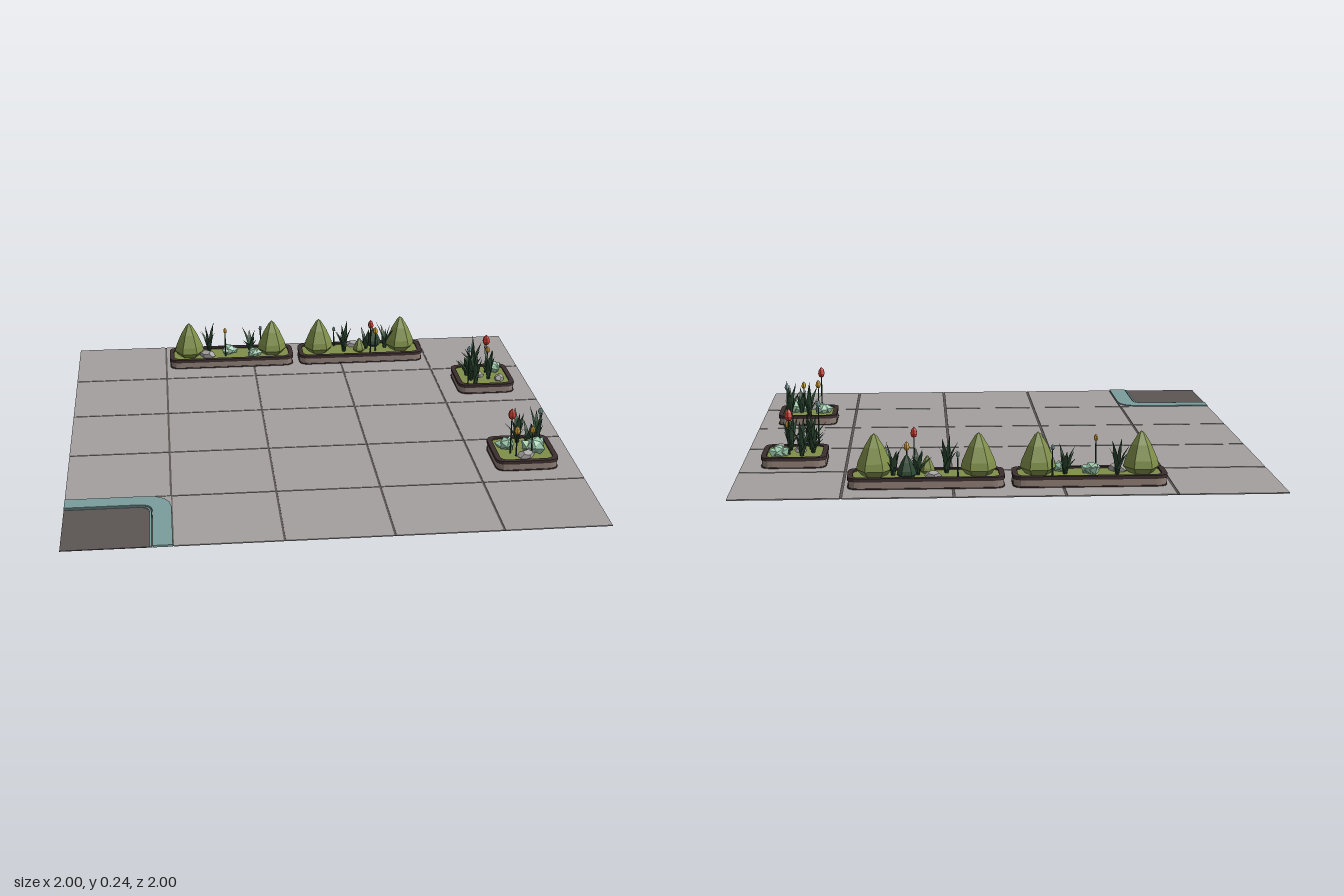
import * as THREE from 'three';

const mat = (name, color, side = THREE.FrontSide) => {
  const m = new THREE.MeshStandardMaterial({ color, flatShading: true, side });
  m.name = name;
  return m;
};
const M = {
  stone: mat('pavingGrey', 0xa3a09e),
  road: mat('roadBrown', 0x5c5554, THREE.DoubleSide),
  teal: mat('kerbTeal', 0x7b9c9c),
  rim: mat('rimBrown', 0x3c2e2e),
  wall: mat('wallTaupe', 0x8f7f76),
  olive: mat('oliveGreen', 0x7f8f49),
  leaf: mat('darkLeafGreen', 0x2b4630, THREE.DoubleSide),
  mint: mat('mintGreen', 0x9cc9ac),
  red: mat('tulipRed', 0xc8382f),
  yellow: mat('flowerYellow', 0xc4912f),
};

function add(parent, name, geo, material, x = 0, y = 0, z = 0) {
  const m = new THREE.Mesh(geo, material);
  m.name = name;
  m.position.set(x, y, z);
  parent.add(m);
  return m;
}

// Upright slab from a plan shape drawn in (x, -z)
const slab = (shape, h) => new THREE.ExtrudeGeometry(shape, { depth: h, bevelEnabled: false, curveSegments: 4 }).rotateX(-Math.PI / 2);

function roundRect(w, d, r, S = THREE.Shape) {
  const s = new S(), x = w / 2, y = d / 2;
  s.moveTo(-x + r, -y);
  s.lineTo(x - r, -y); s.quadraticCurveTo(x, -y, x, -y + r);
  s.lineTo(x, y - r); s.quadraticCurveTo(x, y, x - r, y);
  s.lineTo(-x + r, y); s.quadraticCurveTo(-x, y, -x, y - r);
  s.lineTo(-x, -y + r); s.quadraticCurveTo(-x, -y, -x + r, -y);
  return s;
}
function frame(w, d, r, t) {
  const s = roundRect(w, d, r);
  s.holes.push(roundRect(w - 2 * t, d - 2 * t, Math.max(r - t * 0.6, 0.01), THREE.Path));
  return s;
}

// L-shaped band around the road corner, between edges a and b
function cornerBand(a, b, ra, rb) {
  const s = new THREE.Shape();
  s.moveTo(a, -1); s.lineTo(a, a - ra); s.quadraticCurveTo(a, a, a - ra, a);
  s.lineTo(-1, a); s.lineTo(-1, b);
  s.lineTo(b - rb, b); s.quadraticCurveTo(b, b, b, b - rb); s.lineTo(b, -1);
  return s;
}

function ground(root) {
  const g = new THREE.Group();
  g.name = 'ground';
  root.add(g);
  // Grout strips lie inside the gaps between slabs
  for (let i = 0; i < 4; i++) {
    const p = -0.6 + i * 0.4;
    add(g, 'groutAcross', new THREE.BoxGeometry(2, 0.001, 0.012), M.road, 0, 0.0105, p);
    add(g, 'groutAlong', new THREE.BoxGeometry(0.012, 0.001, 2), M.road, p, 0.0105, 0);
  }
  for (let i = 0; i < 5; i++) for (let j = 0; j < 5; j++) {
    if (i === 0 && j === 4) continue;
    const x0 = i ? -0.996 + i * 0.4 : -1, x1 = i < 4 ? -0.604 + i * 0.4 : 1;
    const z0 = j ? -0.996 + j * 0.4 : -1, z1 = j < 4 ? -0.604 + j * 0.4 : 1;
    add(g, 'pavingSlab', new THREE.BoxGeometry(x1 - x0, 0.004, z1 - z0), M.stone, (x0 + x1) / 2, 0.011, (z0 + z1) / 2);
  }
  // Road corner with rounded kerb
  const fill = new THREE.Shape();
  fill.moveTo(-0.6, -0.7); fill.lineTo(-0.6, -0.6); fill.lineTo(-0.7, -0.6);
  fill.quadraticCurveTo(-0.6, -0.6, -0.6, -0.7);
  add(g, 'cornerFill', slab(fill, 0.004), M.stone, 0, 0.009);
  add(g, 'kerb', slab(cornerBand(-0.6, -0.671, 0.1, 0.05), 0.008), M.teal, 0, 0.009);
  add(g, 'kerbLip', slab(cornerBand(-0.675, -0.682, 0.05, 0.045), 0.006), M.teal, 0, 0.009);
  const road = new THREE.Shape();
  road.moveTo(-1, -1); road.lineTo(-0.672, -1); road.lineTo(-0.672, -0.722);
  road.quadraticCurveTo(-0.672, -0.672, -0.722, -0.672); road.lineTo(-1, -0.672);
  add(g, 'road', slab(road, 0.003), M.road, 0, 0.009);
}

function planter(root, name, x, z, w, d) {
  const g = new THREE.Group();
  g.name = name;
  g.position.set(x, 0, z);
  root.add(g);
  add(g, 'planterFoot', slab(roundRect(w, d, 0.045), 0.005), M.rim, 0, 0.012);
  add(g, 'planterWall', slab(frame(w - 0.006, d - 0.006, 0.043, 0.016), 0.026), M.wall, 0, 0.016);
  add(g, 'planterRim', slab(frame(w, d, 0.045, 0.02), 0.013), M.rim, 0, 0.041);
  add(g, 'grass', slab(roundRect(w - 0.036, d - 0.036, 0.03), 0.03), M.olive, 0, 0.018);
  return g;
}

// Six-sided clipped bush
function bush(g, x, z, s = 1, material = M.olive) {
  const prof = [[0, 0], [0.046, 0], [0.066, 0.022], [0.06, 0.05], [0.036, 0.105], [0.012, 0.145], [0, 0.155]];
  const geo = new THREE.LatheGeometry(prof.map(p => new THREE.Vector2(p[0] * s, p[1] * s)), 6);
  add(g, 'clippedBush', geo, material, x, 0.048, z).rotation.y = Math.PI / 6 * 3;
}

// Tuft of bent tapering blades
function tuft(g, x, z, h, n = 7, lean = 0.035) {
  const t = new THREE.Group();
  t.name = 'leafTuft';
  t.position.set(x, 0.046, z);
  for (let i = 0; i < n; i++) {
    const k = h * (1 - 0.17 * (i % 4)), out = lean * (0.5 + 0.35 * (i % 3));
    const geo = new THREE.PlaneGeometry(1, 1, 2, 3), p = geo.attributes.position;
    for (let v = 0; v < p.count; v++) {
      const u = p.getY(v) + 0.5, side = p.getX(v);
      const wid = 0.022 * (u < 0.5 ? 0.6 + u : 2 * (1 - u) * 1.05);
      p.setXYZ(v, side * wid, u * k, 0.005 + out * u * u - Math.abs(side) * 0.006 * (1 - u));
    }
    const m = add(t, 'blade', geo, M.leaf);
    m.rotation.y = i * 2.4 + x * 9;
  }
  g.add(t);
}

// Chunky faceted succulent
function succulent(g, x, z, r) {
  const s = new THREE.Group();
  s.name = 'succulent';
  s.position.set(x, 0.052, z);
  s.rotation.y = x * 17 + z * 5;
  add(s, 'heart', new THREE.IcosahedronGeometry(r * 0.8, 0), M.mint, 0, r * 0.3, 0).scale.y = 0.9;
  for (let i = 0; i < 3; i++) {
    const a = i * 2.1;
    const m = add(s, 'fleshyLeaf', new THREE.OctahedronGeometry(r * 0.65, 0), M.mint, Math.cos(a) * r * 0.6, r * 0.3, Math.sin(a) * r * 0.6);
    m.rotation.set(0.3, -a, 0.5);
    m.scale.set(1, 0.8, 0.8);
  }
  g.add(s);
}

function rock(g, x, z, r) {
  const m = add(g, 'rock', new THREE.DodecahedronGeometry(r, 0), M.stone, x, 0.055, z);
  m.scale.set(1.2, 0.7, 0.85);
  m.rotation.y = x * 11 + 0.5;
}

// Closed bloom on a thin stem; top is the height of its tip
function flower(g, x, z, top, material, r = 0.013) {
  const h = r * 3, len = top - h - 0.045;
  add(g, 'stem', new THREE.CylinderGeometry(0.0025, 0.0035, len, 5), M.leaf, x, 0.045 + len / 2, z);
  const prof = [[0, 0], [0.7, 0.4], [1, 1.2], [0.75, 2.2], [0, 3]].map(p => new THREE.Vector2(p[0] * r, p[1] * r));
  add(g, 'bloom', new THREE.LatheGeometry(prof, 6), material, x, top - h, z);
}

export function createModel() {
  const root = new THREE.Group();
  root.name = 'pavedGarden';
  ground(root);

  // Long planters at the back
  const a = planter(root, 'longPlanterRight', -0.3, -0.8, 0.566, 0.17);
  const b = planter(root, 'longPlanterLeft', 0.297, -0.8, 0.572, 0.17);
  for (const g of [a, b]) {
    for (const x of [-0.192, 0.188]) bush(g, x, 0);
    add(g, 'undersideOutline', slab(frame(0.53, 0.13, 0.03, 0.004), 0.002), M.road, 0, 0.0075);
  }
  tuft(a, -0.1, -0.035, 0.135);
  tuft(a, 0.09, -0.02, 0.115, 8, 0.045);
  rock(a, -0.11, 0.025, 0.034);
  succulent(a, -0.01, -0.012, 0.038);
  succulent(a, 0.102, 0.033, 0.034);
  flower(a, -0.028, 0.03, 0.185, M.yellow, 0.009);
  flower(a, 0.138, -0.04, 0.165, M.teal, 0.008);

  tuft(b, -0.075, 0.02, 0.14, 8);
  tuft(b, 0.12, -0.01, 0.125, 7, 0.045);
  tuft(b, 0.03, -0.005, 0.1, 7, 0.045);
  bush(b, 0.07, -0.045, 0.55, M.leaf);
  bush(b, -0.005, 0.025, 0.42);
  rock(b, -0.025, -0.05, 0.028);
  flower(b, 0.043, 0.065, 0.212, M.red, 0.014);
  flower(b, 0.07, 0.03, 0.165, M.yellow, 0.012);
  flower(b, -0.115, -0.05, 0.145, M.teal, 0.008);

  // Square planters on the left side
  const c = planter(root, 'squarePlanterBack', 0.8, -0.415, 0.25, 0.25);
  const d = planter(root, 'squarePlanterFront', 0.8, 0.385, 0.25, 0.25);
  for (const g of [c, d]) add(g, 'planterBase', slab(roundRect(0.215, 0.215, 0.03), 0.003), M.rim, 0, 0.006);
  add(c, 'drainPlug', new THREE.CylinderGeometry(0.008, 0.004, 0.008, 6), M.rim, 0.02, 0.004, 0);

  tuft(c, -0.03, -0.065, 0.15, 8, 0.05);
  tuft(c, -0.06, 0.05, 0.13, 8, 0.05);
  tuft(c, 0.02, 0.04, 0.15, 7, 0.05);
  tuft(c, -0.07, -0.01, 0.1, 6, 0.04);
  tuft(c, -0.05, 0.1, 0.14, 5, 0.03);
  succulent(c, 0.06, -0.055, 0.04);
  rock(c, 0.065, 0.055, 0.026);
  rock(c, -0.02, 0.01, 0.022);
  flower(c, 0.02, -0.035, 0.228, M.red, 0.017);
  flower(c, -0.085, 0.118 - 0.01, 0.232, M.teal, 0.01);
  flower(c, 0.025, -0.02, 0.18, M.yellow, 0.011);

  tuft(d, -0.005, -0.07, 0.14, 8, 0.045);
  tuft(d, 0.075, -0.07, 0.15, 7, 0.04);
  tuft(d, 0.03, -0.02, 0.11, 6, 0.04);
  succulent(d, -0.06, -0.022, 0.04);
  succulent(d, 0.05, 0.012, 0.052);
  rock(d, 0, 0.07, 0.032);
  flower(d, -0.055, 0.032, 0.24, M.red, 0.016);
  flower(d, -0.038, 0.062, 0.178, M.yellow, 0.013);
  flower(d, 0.025, 0.055, 0.172, M.yellow, 0.011);
  flower(d, 0.088, -0.083, 0.19, M.teal, 0.01);
  return root;
}
